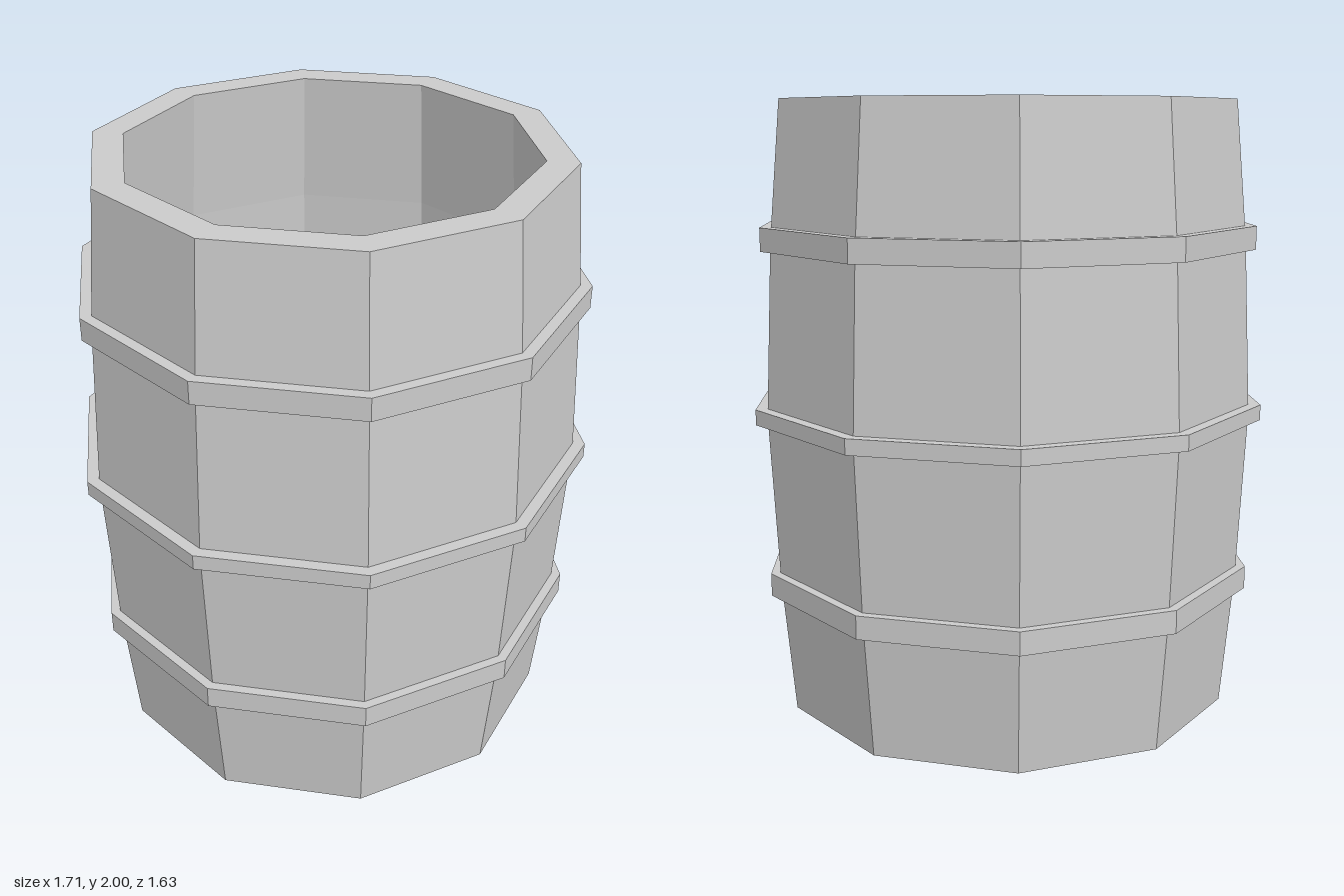
import * as THREE from 'three';

const SIDES = 10;
const material = new THREE.MeshStandardMaterial({ color: 0xcccccc, flatShading: true });

// Ten-sided turned solid from a closed [radius, y] profile, a corner on the x axis
function turned(name, profile) {
  const points = profile.map(([r, y]) => new THREE.Vector2(r, y));
  const geometry = new THREE.LatheGeometry(points, SIDES, Math.PI / 2).toNonIndexed();
  geometry.computeVertexNormals();
  const mesh = new THREE.Mesh(geometry, material);
  mesh.name = name;
  return mesh;
}

// Flat band around the barrel
function hoop(name, radius, bottom, top) {
  const inner = radius - 0.06;
  return turned(name, [[inner, bottom], [radius, bottom], [radius, top], [inner, top], [inner, bottom]]);
}

export function createModel() {
  const barrel = new THREE.Group();
  barrel.name = 'barrel';

  // Bulging wall of staves, open at the top
  const bulge = [[0.75, 0], [0.79, 0.44], [0.817, 1], [0.79, 1.56], [0.75, 2]];
  const inside = bulge.map(([r, y]) => [r - 0.1, y]).reverse();
  barrel.add(turned('staves', [...bulge, ...inside, bulge[0]]));

  // Floor set a little above the bottom rim
  barrel.add(turned('floor', [[0, 0.1], [0.67, 0.1], [0.67, 0.16], [0, 0.16]]));

  // Three hoops
  barrel.add(hoop('lowerHoop', 0.823, 0.403, 0.478));
  barrel.add(hoop('middleHoop', 0.855, 0.978, 1.028));
  barrel.add(hoop('upperHoop', 0.823, 1.53, 1.605));

  return barrel;
}
